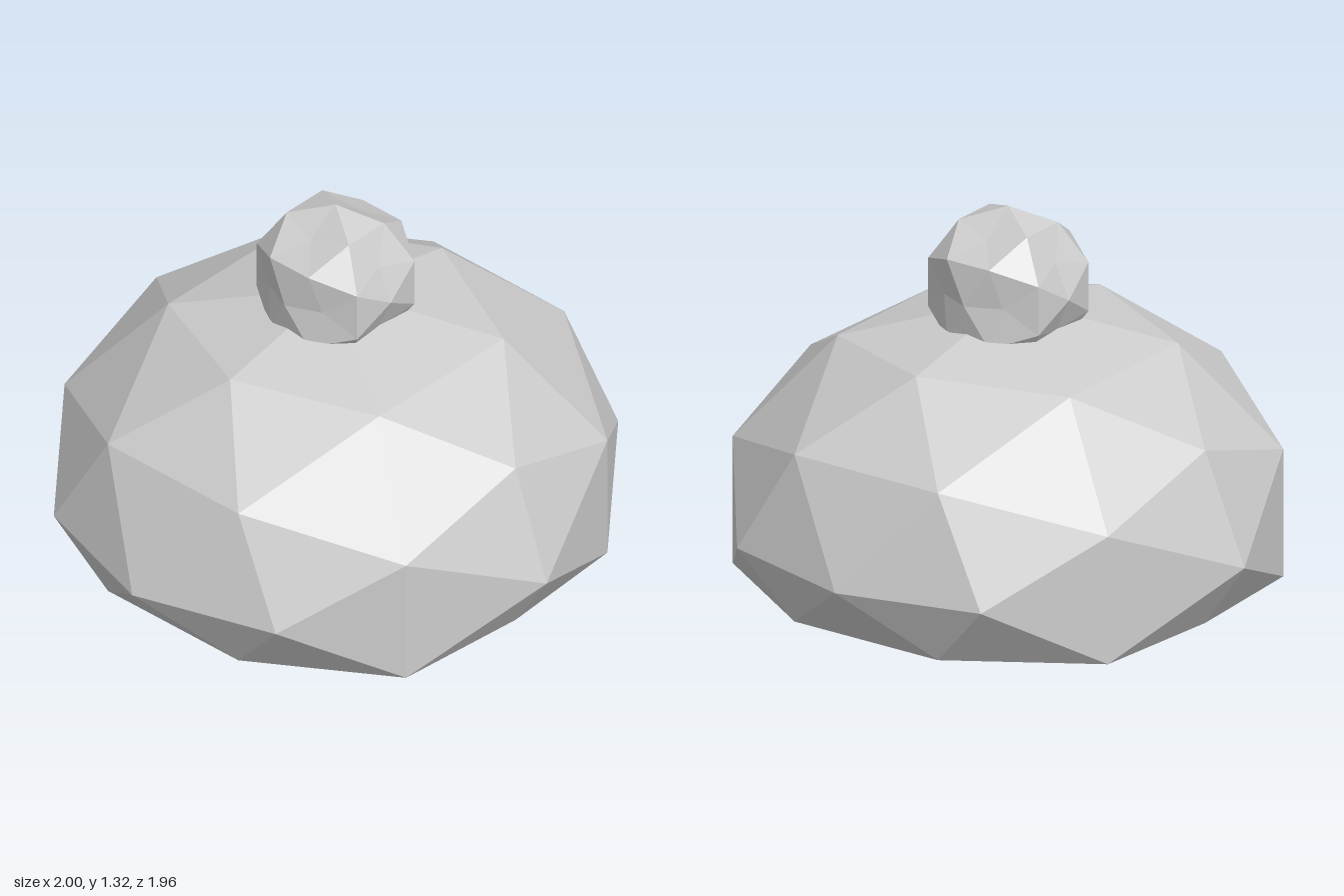
import * as THREE from 'three';

const stone = new THREE.MeshStandardMaterial({ color: 0xcccccc });
stone.name = 'pale grey';

// Faceted ball whose unit corners are moved by a rule.
// kind: 'axis' (on a main axis), 'tip' (five-sided corner) or 'mid'.
function facetedBall(name, rule) {
  const geo = new THREE.IcosahedronGeometry(1, 1);
  const pos = geo.attributes.position;
  const v = new THREE.Vector3();
  for (let i = 0; i < pos.count; i++) {
    v.fromBufferAttribute(pos, i);
    const a = [v.x, v.y, v.z].map(Math.abs);
    const kind = Math.max(...a) > 0.99 ? 'axis' : Math.min(...a) < 0.01 ? 'tip' : 'mid';
    rule(v, kind);
    pos.setXYZ(i, v.x, v.y, v.z);
  }
  geo.computeVertexNormals(); // unshared corners keep the facets flat
  const mesh = new THREE.Mesh(geo, stone);
  mesh.name = name;
  return mesh;
}

export function createModel() {
  const group = new THREE.Group();
  group.name = 'knobbedDome';

  // Squat dome, pressed flat on the ground
  group.add(facetedBall('dome', (v, kind) => {
    const shift = kind === 'axis' ? 0 : 0.012;
    const depth = kind === 'axis' ? 0.98 : 0.97;
    v.set(v.x + shift, Math.max(0, 0.23 + 0.75 * v.y), v.z * depth);
  }));

  // Knob sunk into the crown, with its five-sided faces slightly dished
  group.add(facetedBall('knob', (v, kind) => {
    let r = 0.285;
    if (kind === 'tip') r *= 0.82;
    if (kind === 'axis' && Math.abs(v.y) < 0.5) r *= 0.89;
    v.multiplyScalar(r).add(new THREE.Vector3(0.01, 1.035, 0));
  }));

  return group;
}
